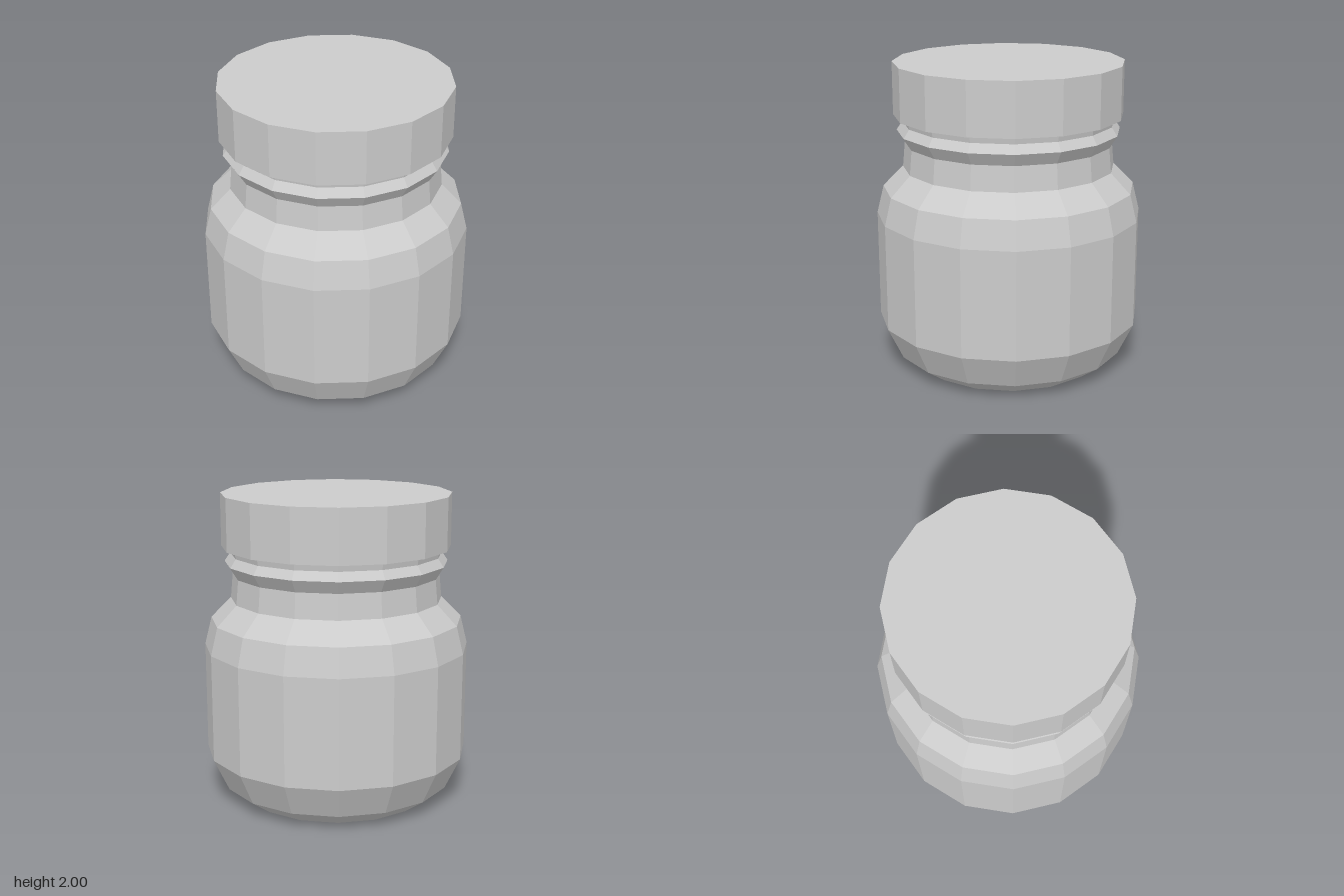
import * as THREE from 'three';

const SIDES = 16;

export function createModel() {
  const model = new THREE.Group();
  model.name = 'jar';
  const material = new THREE.MeshStandardMaterial({ color: 0xcccccc, flatShading: true });

  // Jar body: base, bevelled bottom, straight wall, shoulder, neck and bead
  const profile = [
    [0, 0], [0.62, 0], [0.76, 0.1], [0.86, 0.31], [0.86, 1.01], [0.815, 1.19],
    [0.685, 1.32], [0.67, 1.48], [0.72, 1.56], [0.683, 1.615], [0.69, 1.66],
  ].map(([r, y]) => new THREE.Vector2(r, y));
  const body = new THREE.Mesh(new THREE.LatheGeometry(profile, SIDES), material);
  body.name = 'jarBody';

  // Flat closed lid resting on the neck
  const lid = new THREE.Mesh(new THREE.CylinderGeometry(0.74, 0.74, 0.34, SIDES), material);
  lid.name = 'lid';
  lid.position.y = 1.83;

  model.add(body, lid);
  return model;
}
